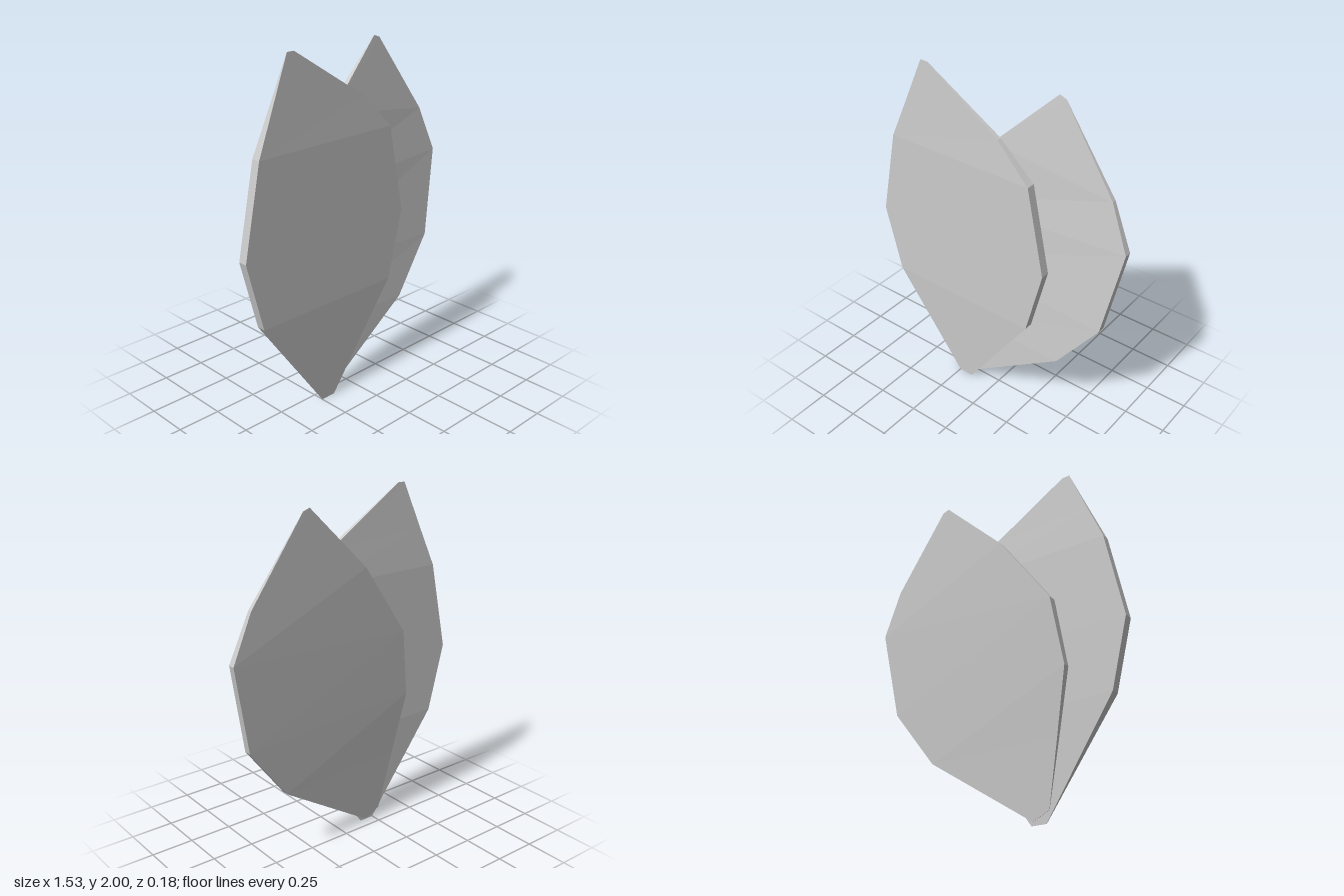
import * as THREE from 'three';

const material = new THREE.MeshStandardMaterial({ color: 0xcccccc, flatShading: true });

// Each row crosses the leaf: [x, y, zBack, zFront] of its left-hand (-x) and right-hand (+x) rim.
const frontRows = [
  [[-0.25, 0, 0.063, 0.065], [-0.16, 0, 0.063, 0.065]],
  [[-0.67, 0.605, 0.037, 0.088], [0.255, 0.6, 0.037, 0.088]],
  [[-0.77, 1, 0.035, 0.088], [0.355, 1, 0.035, 0.088]],
  [[-0.665, 1.51, 0.037, 0.088], [0.25, 1.51, 0.037, 0.088]],
  [[-0.57, 1.73, 0.049, 0.077], [0.05, 1.71, 0.049, 0.077]],
  [[-0.455, 2, 0.063, 0.065], [-0.41, 2, 0.063, 0.065]],
];
const backRows = [
  [[-0.28, 0.06, 0.043, 0.045], [-0.18, 0.015, 0.043, 0.045]],
  [[-0.355, 0.42, 0.013, 0.033], [0.425, 0.41, -0.015, 0.024]],
  [[-0.43, 0.79, -0.02, 0.02], [0.67, 0.735, -0.045, 0]],
  [[-0.37, 1.19, -0.05, 0], [0.765, 1.245, -0.08, -0.04]],
  [[-0.07, 1.61, -0.08, -0.035], [0.655, 1.51, -0.085, -0.06]],
  [[0.3, 1.97, -0.09, -0.088], [0.34, 1.955, -0.09, -0.088]],
];

// Closed faceted slab: broad faces between rows, plus rim and end strips.
function leaf(name, rows) {
  const positions = [];
  const quad = (a, b, c, d) => positions.push(...a, ...b, ...c, ...a, ...c, ...d);
  const back = ([x, y, z]) => [x, y, z];
  const front = ([x, y, , z]) => [x, y, z];

  for (let i = 0; i < rows.length - 1; i++) {
    const [l, r] = rows[i], [L, R] = rows[i + 1];
    quad(front(l), front(r), front(R), front(L));
    quad(back(r), back(l), back(L), back(R));
    quad(front(r), back(r), back(R), front(R));
    quad(back(l), front(l), front(L), back(L));
  }
  const [l, r] = rows[0], [L, R] = rows[rows.length - 1];
  quad(back(l), back(r), front(r), front(l));
  quad(front(L), front(R), back(R), back(L));

  const geometry = new THREE.BufferGeometry();
  geometry.setAttribute('position', new THREE.Float32BufferAttribute(positions, 3));
  geometry.computeVertexNormals();
  const mesh = new THREE.Mesh(geometry, material);
  mesh.name = name;
  return mesh;
}

export function createModel() {
  const model = new THREE.Group();
  model.name = 'leafPair';
  model.add(leaf('frontLeaf', frontRows), leaf('backLeaf', backRows));
  return model;
}
